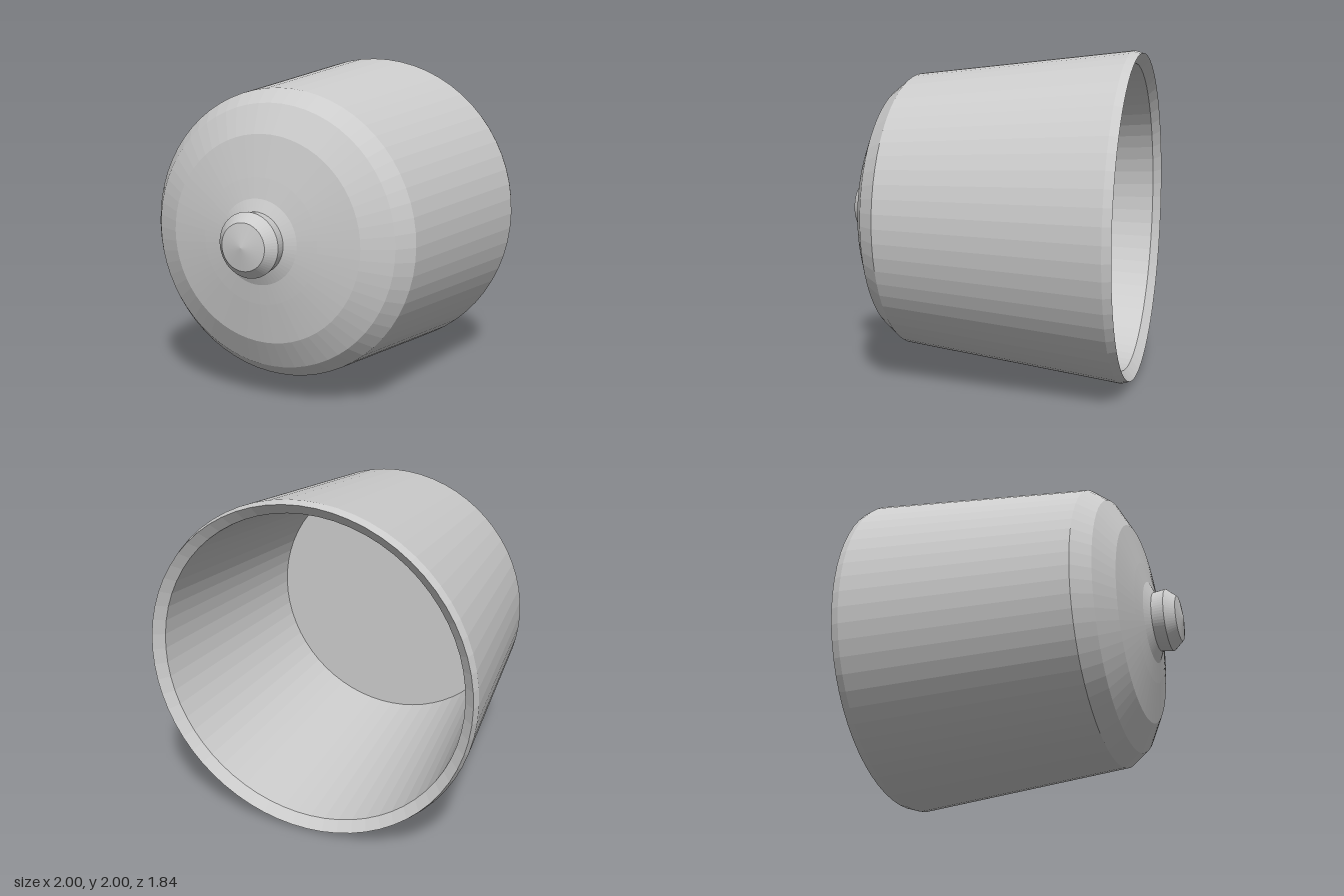
import * as THREE from 'three';

const SEGMENTS = 64;
const material = new THREE.MeshStandardMaterial({ color: 0xcccccc, flatShading: true });

// Turned part about the z axis; profile points are [radius, z].
function turned(name, profile) {
  const points = profile.map(([r, z]) => new THREE.Vector2(r, z));
  const geometry = new THREE.LatheGeometry(points, SEGMENTS);
  geometry.rotateX(Math.PI / 2);
  const mesh = new THREE.Mesh(geometry, material);
  mesh.name = name;
  mesh.position.y = 1;
  return mesh;
}

export function createModel() {
  const model = new THREE.Group();
  model.name = 'cup';

  // Hollow body: inner floor, inner wall, bevelled rim, outer wall, domed front
  model.add(turned('cupBody', [
    [0, 0.44], [0.79, 0.44],
    [0.925, -0.87], [0.985, -0.92], [1, -0.87],
    [0.86, 0.47], [0.78, 0.575], [0.61, 0.665],
    [0.37, 0.71], [0.25, 0.73], [0.18, 0.76],
  ]));

  // Knob at the centre of the dome
  model.add(turned('knob', [
    [0.18, 0.76], [0.19, 0.835], [0.138, 0.895], [0, 0.92],
  ]));

  return model;
}
